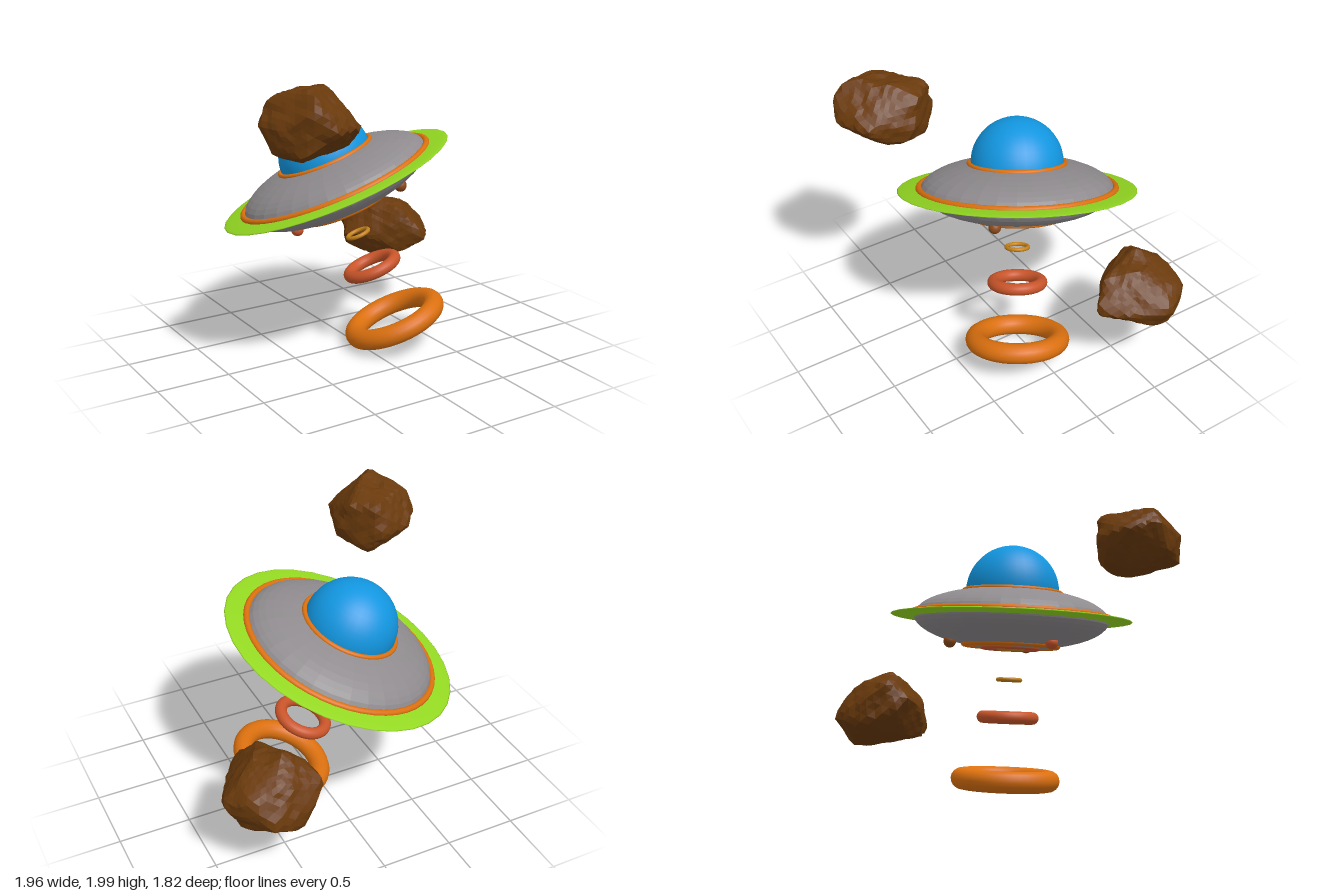
import * as THREE from 'three';
import { ConvexGeometry } from 'three/addons/geometries/ConvexGeometry.js';

const material = (name, color, flatShading = false) => {
  const m = new THREE.MeshStandardMaterial({ color, flatShading });
  m.name = name;
  return m;
};

// Craggy boulder: a fine sphere shrunk onto the convex hull of a few corners, then roughened
function rockGeometry(corners, seed) {
  const center = new THREE.Box3().setFromPoints(corners).getCenter(new THREE.Vector3());
  const hull = new ConvexGeometry(corners.map((p) => p.clone().sub(center)));
  const hp = hull.attributes.position;
  const planes = [];
  for (let i = 0; i < hp.count; i += 3) {
    const [a, b, c] = [0, 1, 2].map((k) => new THREE.Vector3().fromBufferAttribute(hp, i + k));
    planes.push(new THREE.Plane().setFromCoplanarPoints(a, b, c));
  }
  const geo = new THREE.IcosahedronGeometry(1, 7);
  const pos = geo.attributes.position;
  const d = new THREE.Vector3();
  for (let i = 0; i < pos.count; i++) {
    d.fromBufferAttribute(pos, i).normalize();
    let r = Infinity;
    for (const { normal, constant } of planes) {
      const facing = normal.dot(d);
      if (facing > 1e-4) r = Math.min(r, -constant / facing);
    }
    const rough =
      0.025 * Math.sin(7 * d.x + 4 * d.y + seed) * Math.sin(6 * d.z - 5 * d.y + seed) +
      0.02 * Math.sin(15 * d.x - 9 * d.z + seed) * Math.cos(13 * d.y + 6 * d.z);
    // shallow crater on the top
    const crater = d.y > 0.93 ? 0.06 : 0;
    d.multiplyScalar(r * (1 + rough - crater)).add(center);
    pos.setXYZ(i, d.x, d.y, d.z);
  }
  geo.computeVertexNormals();
  return geo;
}

export function createModel() {
  const model = new THREE.Group();
  const green = material('rim green', 0x94d922);
  const grey = material('hull grey', 0x8f8b8e, true);
  const blue = material('dome blue', 0x1296e0);
  const orange = material('orange', 0xdb700f);
  const rust = material('rust', 0xc9552a);
  const gold = material('gold', 0xc4821a);
  const brown = material('light brown', 0x8a4a1a);
  const stone = material('rock brown', 0x6a3a0c, true);

  // The craft and its beam share one tilted axis
  const craft = new THREE.Group();
  craft.name = 'saucer';
  craft.position.set(-0.117, 1.19, -0.095);
  craft.quaternion.setFromUnitVectors(
    new THREE.Vector3(0, 1, 0),
    new THREE.Vector3(-0.318, 0.925, -0.207).normalize()
  );
  model.add(craft);

  const add = (parent, name, geo, mat) => {
    const mesh = new THREE.Mesh(geo, mat);
    mesh.name = name;
    parent.add(mesh);
    return mesh;
  };
  const ellipsoid = (name, r, h, y, mat) =>
    add(craft, name, new THREE.SphereGeometry(1, 32, 24).scale(r, h, r).translate(0, y, 0), mat);
  const ring = (name, r, tube, y, mat) =>
    add(craft, name, new THREE.TorusGeometry(r, tube, 16, 48).rotateX(Math.PI / 2).translate(0, y, 0), mat);

  // Body
  ellipsoid('rim', 0.816, 0.028, 0, green);
  ellipsoid('hull', 0.66, 0.207, 0, grey);
  ellipsoid('dome', 0.315, 0.315, 0.18, blue);
  ring('rimTrim', 0.668, 0.022, 0.015, orange);
  ring('domeTrim', 0.325, 0.017, 0.178, orange);

  // Rings set into the belly
  ring('bellyRingOuter', 0.315, 0.021, -0.178, orange);
  ring('bellyRingMiddle', 0.183, 0.017, -0.197, rust);
  ring('bellyRingInner', 0.078, 0.012, -0.204, gold);

  // Rings floating below
  ring('beamRingSmall', 0.075, 0.014, -0.413, gold);
  ring('beamRingMedium', 0.167, 0.042, -0.667, rust);
  ring('beamRingLarge', 0.295, 0.071, -1.083, orange);

  // Landing lamps, placed in model space
  [
    [0.17, 1.19, 0.27, brown],
    [0.125, 1.01, -0.43, brown],
    [-0.45, 0.905, -0.03, rust],
  ].forEach(([x, y, z, mat]) => {
    add(model, 'bellyLamp', new THREE.SphereGeometry(0.042, 20, 14), mat).position.set(x, y, z);
  });

  // Drifting rocks
  const points = (list) => list.map((p) => new THREE.Vector3(...p));
  add(model, 'upperRock', rockGeometry(points([
    [-1, 1.77, 0.48], [-0.92, 1.93, 0.5], [-0.78, 2, 0.75], [-0.6, 1.98, 0.6], [-0.45, 1.9, 0.45],
    [-0.405, 1.75, 0.5], [-0.42, 1.62, 0.55], [-0.55, 1.57, 0.32], [-0.75, 1.515, 0.55],
    [-0.95, 1.6, 0.6], [-0.85, 1.72, 0.3], [-0.6, 1.72, 0.25], [-0.58, 1.93, 0.3],
    [-0.48, 1.75, 0.82], [-0.7, 1.75, 0.92], [-0.85, 1.6, 0.8], [-0.8, 1.9, 0.9],
    [-0.5, 1.62, 0.7], [-0.95, 1.75, 0.7],
  ]), 1), stone);
  add(model, 'lowerRock', rockGeometry(points([
    [0.29, 0.6, -0.62], [0.34, 0.7, -0.78], [0.4, 0.8, -0.65], [0.55, 0.885, -0.62],
    [0.7, 0.84, -0.5], [0.85, 0.76, -0.6], [0.985, 0.62, -0.62], [0.88, 0.46, -0.55],
    [0.86, 0.42, -0.7], [0.5, 0.42, -0.5], [0.34, 0.5, -0.7], [0.73, 0.53, -0.92],
    [0.45, 0.6, -0.86], [0.85, 0.7, -0.82], [0.72, 0.62, -0.18], [0.6, 0.78, -0.3],
    [0.6, 0.5, -0.3], [0.84, 0.6, -0.35], [0.7, 0.405, -0.7], [0.5, 0.42, -0.85],
    [0.6, 0.78, -0.8], [0.4, 0.6, -0.45],
  ]), 4), stone);

  return model;
}
